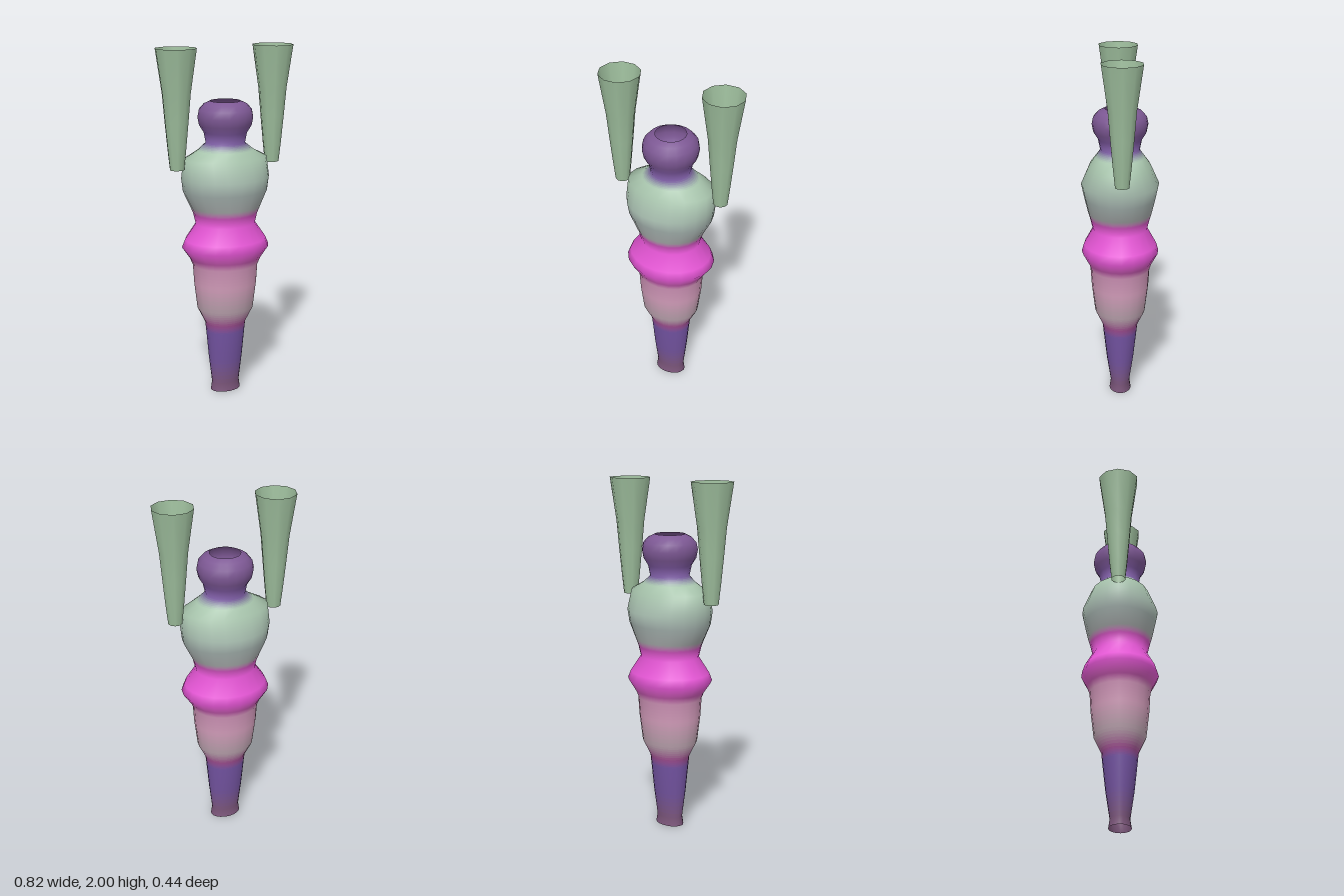
import * as THREE from 'three';
import { mergeVertices } from 'three/addons/utils/BufferGeometryUtils.js';

const SIDES = 20;

// Body rings from the feet up: y, half width, half depth, colour
const RINGS = [
  [0, 0.09, 0.063, 0x7d577c],
  [0.05, 0.083, 0.055, 0x7d577c],
  [0.2, 0.1, 0.078, 0x7454a0],
  [0.37, 0.115, 0.097, 0x7454a4],
  [0.42, 0.12, 0.102, 0xb0559f],
  [0.51, 0.165, 0.145, 0xc0a9b4],
  [0.66, 0.183, 0.163, 0xd69fbd],
  [0.77, 0.19, 0.17, 0xd295ba],
  [0.81, 0.208, 0.184, 0xd660be],
  [0.875, 0.254, 0.219, 0xe656d6],
  [0.92, 0.235, 0.205, 0xe656d6],
  [1.01, 0.172, 0.155, 0xe656d6],
  [1.07, 0.185, 0.17, 0xd655c4],
  [1.11, 0.202, 0.182, 0xaaaeae],
  [1.2, 0.246, 0.203, 0xa8b6b2],
  [1.275, 0.254, 0.219, 0xa8beb0],
  [1.385, 0.246, 0.17, 0xa9c6ae],
  [1.43, 0.16, 0.138, 0xa9c6ae],
  [1.47, 0.11, 0.11, 0x8060a8],
  [1.53, 0.122, 0.122, 0x7d58a0],
  [1.57, 0.147, 0.147, 0x7d5896],
  [1.615, 0.156, 0.156, 0x7d5894],
  [1.655, 0.148, 0.148, 0x7d5894],
  [1.685, 0.122, 0.122, 0x7d5894],
  [1.703, 0.085, 0.085, 0x7d5894],
];

// Named parts, each running between two ring indices
const PARTS = [
  ['lowerLegs', 0, 4], ['thighs', 4, 8], ['hips', 8, 11],
  ['waist', 11, 13], ['chest', 13, 17], ['neck', 17, 19], ['head', 19, 24],
];

function material(color) {
  return new THREE.MeshStandardMaterial({ color, side: THREE.DoubleSide });
}

// Index for a closed loop of quads between successive rings
function ringIndex(ringCount) {
  const index = [];
  for (let r = 0; r < ringCount - 1; r++) {
    for (let i = 0; i < SIDES; i++) {
      const a = r * SIDES + i, b = r * SIDES + (i + 1) % SIDES;
      index.push(a, b, b + SIDES, a, b + SIDES, a + SIDES);
    }
  }
  return index;
}

// Whole body surface, used as the source of positions and smooth normals
function bodySurface() {
  const position = [];
  for (const [y, rx, rz] of RINGS) {
    for (let i = 0; i < SIDES; i++) {
      const a = (i / SIDES) * Math.PI * 2;
      position.push(rx * Math.sin(a), y, rz * Math.cos(a));
    }
  }
  const geometry = new THREE.BufferGeometry();
  geometry.setAttribute('position', new THREE.Float32BufferAttribute(position, 3));
  geometry.setIndex(ringIndex(RINGS.length));
  geometry.computeVertexNormals();
  return geometry;
}

// Thin band between fractions t0 and t1 of the gap above one ring
function band(surface, ring, t0, t1) {
  const geometry = new THREE.BufferGeometry();
  const from = new THREE.Vector3(), to = new THREE.Vector3();
  for (const name of ['position', 'normal']) {
    const source = surface.getAttribute(name), values = [];
    for (const t of [t0, t1]) {
      for (let i = 0; i < SIDES; i++) {
        from.fromBufferAttribute(source, ring * SIDES + i);
        to.fromBufferAttribute(source, (ring + 1) * SIDES + i);
        from.lerp(to, t);
        if (name === 'normal') from.normalize();
        values.push(from.x, from.y, from.z);
      }
    }
    geometry.setAttribute(name, new THREE.Float32BufferAttribute(values, 3));
  }
  geometry.setIndex(ringIndex(2));
  return geometry;
}

// One body part, its colour blending from ring to ring
function bodyPart(surface, name, first, last) {
  const part = new THREE.Group();
  part.name = name;
  for (let r = first; r < last; r++) {
    const low = new THREE.Color(RINGS[r][3]), high = new THREE.Color(RINGS[r + 1][3]);
    const steps = low.equals(high) ? 1 : 6;
    for (let s = 0; s < steps; s++) {
      const color = low.clone().lerp(high, (s + 0.5) / steps);
      const mesh = new THREE.Mesh(band(surface, r, s / steps, (s + 1) / steps), material(color));
      mesh.name = name + 'Band';
      part.add(mesh);
    }
  }
  return part;
}

// Raised arm: open ten-sided tapering tube
function arm(side) {
  const profile = [[0.04, 1.34], [0.052, 1.45], [0.066, 1.6], [0.08, 1.76], [0.115, 2]];
  let geometry = new THREE.LatheGeometry(profile.map(([r, y]) => new THREE.Vector2(r, y)), 10);
  geometry.deleteAttribute('uv');
  geometry = mergeVertices(geometry);
  geometry.rotateY(Math.PI / 2);
  const mesh = new THREE.Mesh(geometry, material(0x9dbd9c));
  mesh.name = side > 0 ? 'leftArm' : 'rightArm';
  mesh.position.x = side * 0.295;
  return mesh;
}

export function createModel() {
  const model = new THREE.Group();
  model.name = 'figure';
  const surface = bodySurface();
  for (const [name, first, last] of PARTS) model.add(bodyPart(surface, name, first, last));
  for (const side of [-1, 1]) model.add(arm(side));
  return model;
}
